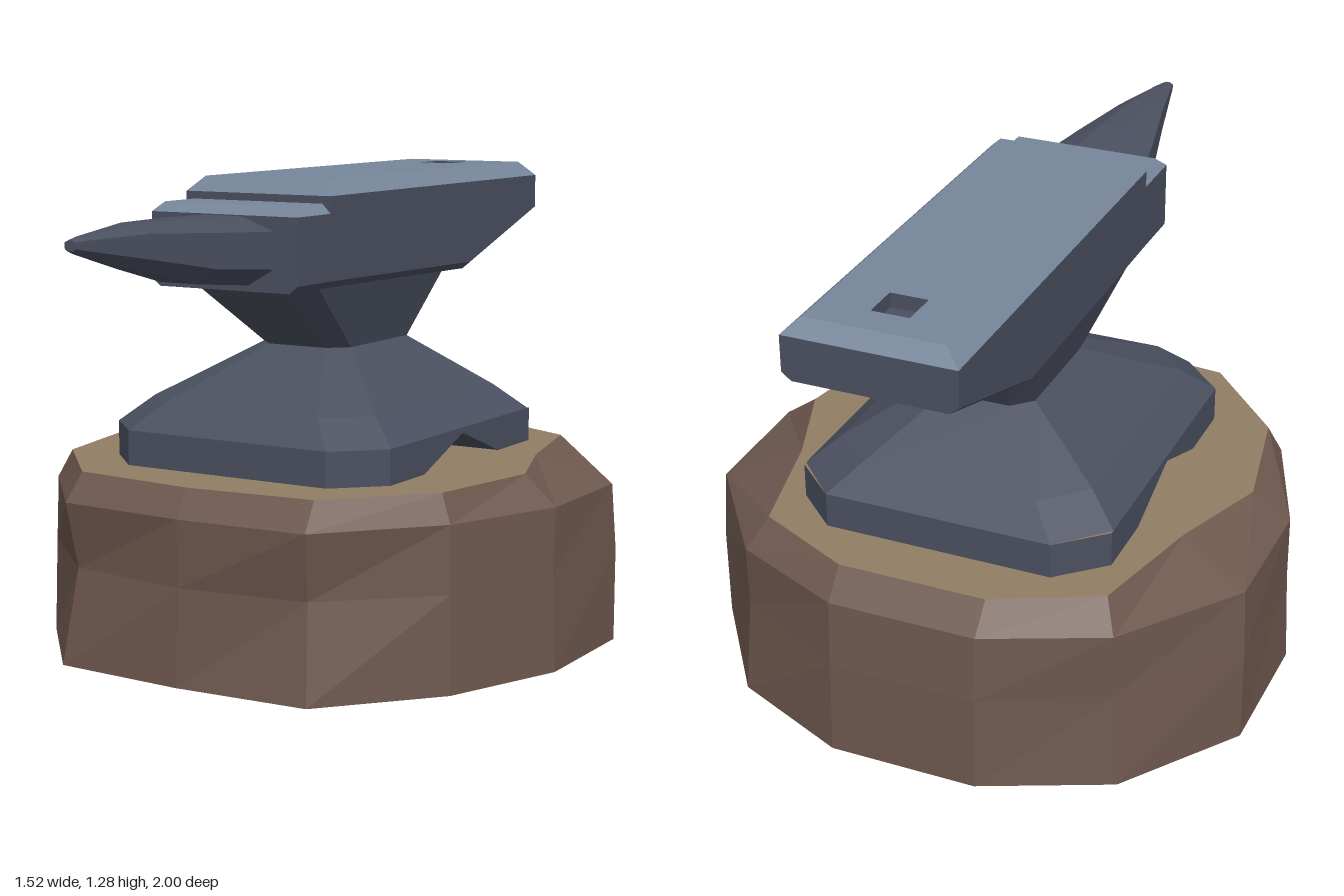
import * as THREE from 'three';

const mat = (name, color) => {
  const m = new THREE.MeshStandardMaterial({ color, flatShading: true });
  m.name = name;
  return m;
};

// Collects quads and triangles into a faceted geometry
function fromTriangles(tris) {
  const g = new THREE.BufferGeometry();
  g.setAttribute('position', new THREE.Float32BufferAttribute(tris.flat(2), 3));
  g.computeVertexNormals();
  return g;
}
const quad = (a, b, c, d) => [[a, b, c], [a, c, d]];

// Skins rings that run counter-clockwise seen from the last ring's end
function loft(rings, capStart = true, capEnd = true) {
  const tris = [], n = rings[0].length;
  for (let r = 0; r < rings.length - 1; r++) {
    const a = rings[r], b = rings[r + 1];
    for (let i = 0; i < n; i++) {
      const j = (i + 1) % n;
      tris.push(...quad(a[i], a[j], b[j], b[i]));
    }
  }
  const first = rings[0], last = rings[rings.length - 1];
  for (let i = 1; i < n - 1; i++) {
    if (capStart) tris.push([first[0], first[i + 1], first[i]]);
    if (capEnd) tris.push([last[0], last[i], last[i + 1]]);
  }
  return fromTriangles(tris);
}

// Horizontal ring from its right half [x, z], front to back, mirrored to the other side
function mirrored(half, y) {
  const right = half.map(([x, z]) => [x, y, z]);
  const left = half.filter(([x]) => x > 0).reverse().map(([x, z]) => [-x, y, z]);
  return [...right, ...left];
}
const octagon = (x, z0, z1, c, y) =>
  mirrored([[x - c, z0], [x, z0 - c], [x, z1 + c], [x - c, z1]], y);
const rect = (x, z0, z1, y) => mirrored([[x, z0], [x, z1]], y);

// Upright body section with small bevels along the underside
const section = (z, low, top) => [
  [-0.2, low, z], [0.2, low, z], [0.225, low + 0.02, z],
  [0.225, top, z], [-0.225, top, z], [-0.225, low + 0.02, z],
];

export function createModel() {
  const steel = mat('darkSteel', 0x4b5060);
  const polished = mat('polishedSteel', 0x76869a);
  const bark = mat('bark', 0x6e584e);
  const wood = mat('cutWood', 0x917e64);

  const model = new THREE.Group();
  model.name = 'anvilOnStump';
  const add = (name, geometry, material) => {
    const mesh = new THREE.Mesh(geometry, material);
    mesh.name = name;
    model.add(mesh);
    return mesh;
  };

  // Stump: irregular thirteen-sided log with a chipped rim
  const base = [[0, 0.59], [0.38, 0.57], [0.63, 0.28], [0.76, -0.06], [0.755, -0.45], [0.53, -0.76], [0.2, -0.905]];
  const shoulder = [[0, 0.58], [0.37, 0.56], [0.62, 0.27], [0.75, -0.07], [0.745, -0.44], [0.51, -0.75], [0.2, -0.885]];
  const rim = [[0, 0.535], [0.36, 0.5], [0.585, 0.25], [0.65, -0.09], [0.55, -0.36], [0.47, -0.69], [0.2, -0.82]];
  const pull = [0.98, 0.94, 0.99, 0.985, 1, 0.97, 0.99];
  const middle = base.map(([x, z], i) => [x * pull[i], (z + 0.16) * pull[i] - 0.16]);
  add('stumpBark', loft([
    mirrored(base, 0), mirrored(middle, 0.26), mirrored(shoulder, 0.44), mirrored(rim, 0.515),
  ], true, false), bark);
  const top = mirrored(rim, 0.515);
  add('stumpTop', fromTriangles(top.map((p, i) => [[0, 0.515, -0.16], p, top[(i + 1) % top.length]])), wood);

  // Foot: chamfered slab with an arch cut across its underside
  const footHalf = [[0.31, 0.36], [0.43, 0.24], [0.43, 0.06], [0.43, -0.155], [0.43, -0.37], [0.43, -0.56], [0.31, -0.67]];
  const sole = mirrored(footHalf, 0.515);
  for (const i of [3, 10]) sole[i][1] = 0.595;
  add('footSlab', loft([sole, mirrored(footHalf, 0.61)], false, false), steel);
  const under = [];
  for (let i = 0; i < 6; i++) under.push(...quad(sole[i], sole[13 - i], sole[12 - i], sole[i + 1]));
  add('footUnderside', fromTriangles(under), steel);
  add('footSlope', loft([
    octagon(0.43, 0.36, -0.67, 0.12, 0.61),
    octagon(0.35, 0.29, -0.6, 0.11, 0.68),
    octagon(0.14, 0, -0.41, 0.05, 0.82),
  ], false), steel);

  // Waist flaring up into the body
  add('waist', loft([
    octagon(0.14, 0, -0.41, 0.05, 0.82),
    octagon(0.2, 0.28, -0.53, 0.06, 1.01),
  ]), steel);

  // Body with its tapering heel, and the lower step in front
  add('body', loft([section(-1, 1.13, 1.245), section(-0.58, 0.995, 1.245), section(0.2, 1.005, 1.245)]), steel);
  add('step', loft([section(0.2, 1.005, 1.2), section(0.36, 1.005, 1.2)]), steel);
  add('stepFace', loft([rect(0.225, 0.36, 0.19, 1.2), rect(0.2, 0.335, 0.19, 1.225)]), polished);

  // Working face: bevelled border, and a flat top pierced by a square hole
  add('faceBevel', loft([rect(0.225, 0.2, -1, 1.245), rect(0.183, 0.17, -0.967, 1.285)], false, false), polished);
  const outline = (x, y0, y1) => [[-x, y0], [x, y0], [x, y1], [-x, y1]].map(p => new THREE.Vector2(...p));
  const face = new THREE.Shape(outline(0.183, -0.17, 0.967));
  face.holes.push(new THREE.Path(outline(0.05, 0.78, 0.88)));
  add('face', new THREE.ShapeGeometry(face).rotateX(-Math.PI / 2).translate(0, 1.285, 0), polished);

  // Inside-out box forms the walls and floor of the hole
  const holeDepth = 0.038;
  add('squareHole', new THREE.BoxGeometry(0.1, holeDepth, 0.1).scale(-1, 1, 1)
    .translate(0, 1.285 - holeDepth / 2, -0.83), steel);

  // Horn: eight-sided taper, [z, half width, bottom, top]
  const hornRings = [
    [0.35, 0.155, 1.02, 1.197], [0.56, 0.115, 1.04, 1.203],
    [0.77, 0.066, 1.09, 1.204], [0.97, 0.022, 1.142, 1.184], [1, 0.016, 1.152, 1.178],
  ].map(([z, w, lo, hi]) => {
    const a = lo + (hi - lo) * 0.25, b = lo + (hi - lo) * 0.8;
    return [[-w / 2, lo, z], [w / 2, lo, z], [w, a, z], [w, b, z],
      [w * 0.35, hi, z], [-w * 0.35, hi, z], [-w, b, z], [-w, a, z]];
  });
  add('horn', loft(hornRings), steel);

  return model;
}
